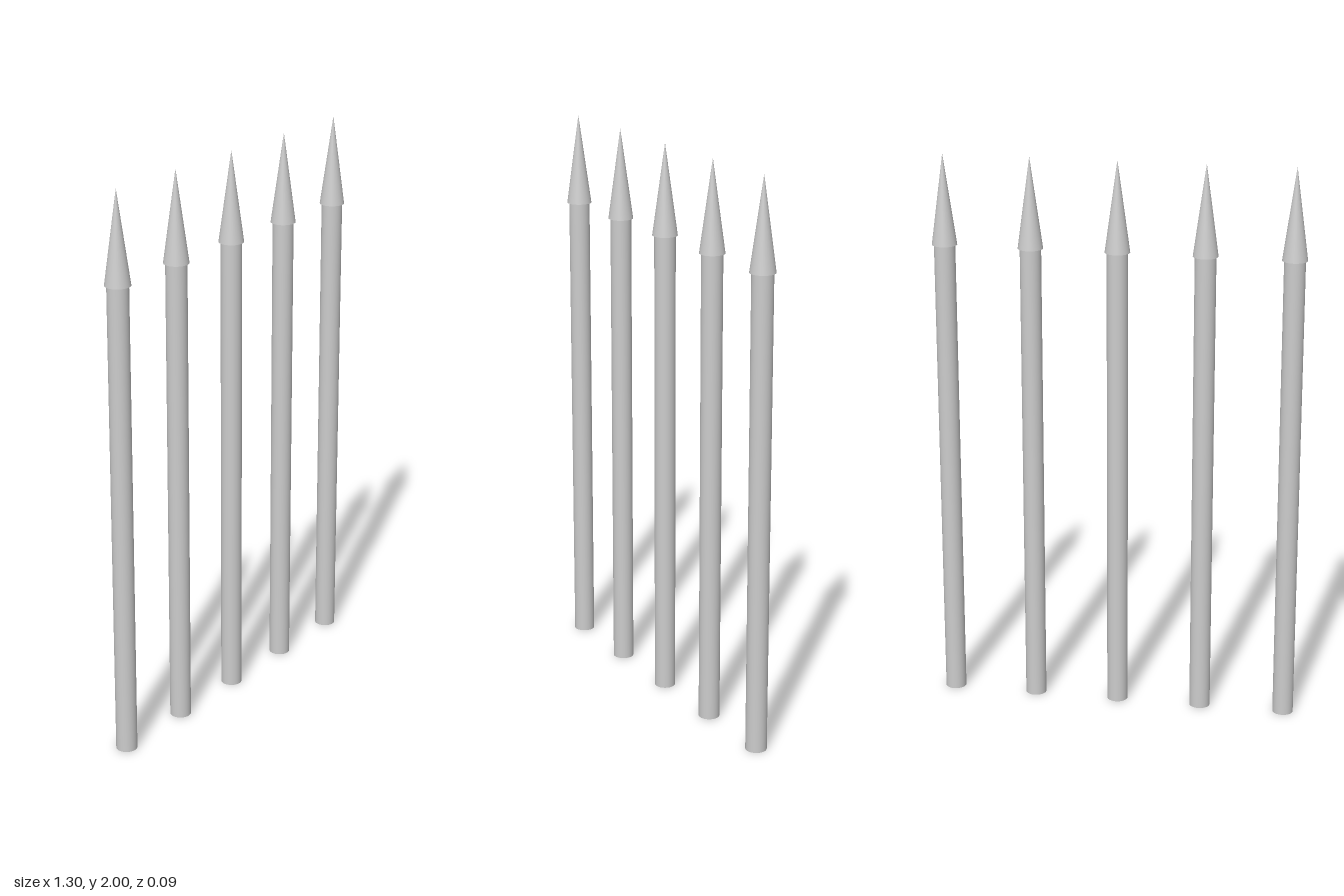
import * as THREE from 'three';

const COUNT = 5, SPACING = 0.304;
const SHAFT_HEIGHT = 1.68, SHAFT_RADIUS = 0.037;
const TIP_HEIGHT = 0.32, TIP_RADIUS = 0.044;

export function createModel() {
  const model = new THREE.Group();
  model.name = 'spikeRow';
  const material = new THREE.MeshStandardMaterial({ color: 0xcccccc });

  // Geometries stand on their own base, shared by every spike
  const shaftGeometry = new THREE.CylinderGeometry(SHAFT_RADIUS, SHAFT_RADIUS, SHAFT_HEIGHT, 32)
    .translate(0, SHAFT_HEIGHT / 2, 0);
  const tipGeometry = new THREE.ConeGeometry(TIP_RADIUS, TIP_HEIGHT, 32)
    .translate(0, TIP_HEIGHT / 2, 0);

  // Evenly spaced row of pointed bars
  for (let i = 0; i < COUNT; i++) {
    const spike = new THREE.Group();
    spike.name = `spike${i + 1}`;
    spike.position.x = (i - (COUNT - 1) / 2) * SPACING;

    const shaft = new THREE.Mesh(shaftGeometry, material);
    shaft.name = 'shaft';

    // Slightly wider conical head on top of the shaft
    const tip = new THREE.Mesh(tipGeometry, material);
    tip.name = 'tip';
    tip.position.y = SHAFT_HEIGHT;

    spike.add(shaft, tip);
    model.add(spike);
  }
  return model;
}
